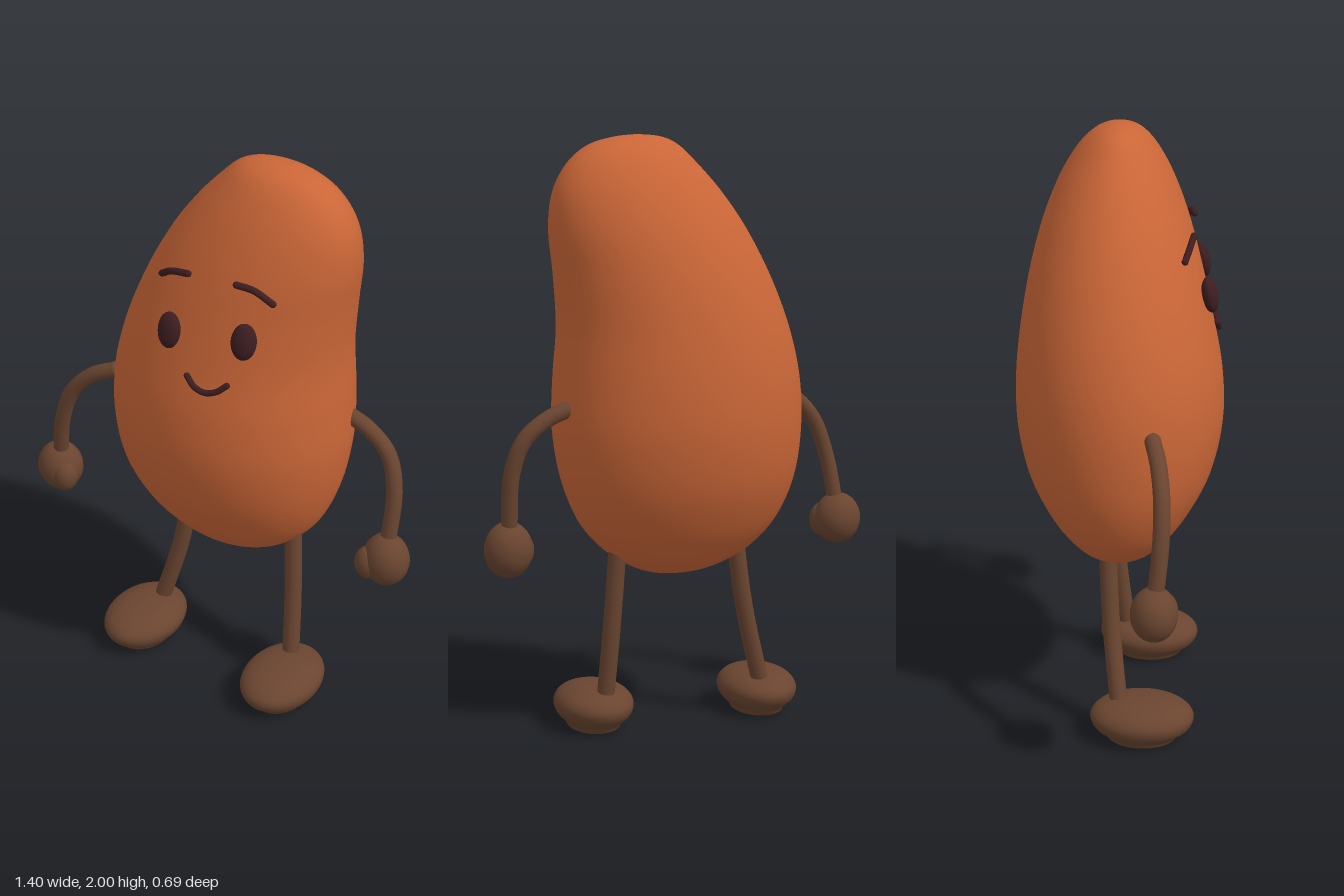
import * as THREE from 'three';

const mat = (name, color) => {
  const m = new THREE.MeshStandardMaterial({ color });
  m.name = name;
  return m;
};

// Bean cross-sections: y, left x, right x, front z, back z
const SECTIONS = [
  [0.54, 0.04, 0.04, 0, 0], [0.55, -0.06, 0.13, 0.06, -0.06], [0.58, -0.15, 0.205, 0.115, -0.115],
  [0.635, -0.24, 0.285, 0.172, -0.172], [0.73, -0.322, 0.365, 0.24, -0.24],
  [0.87, -0.378, 0.42, 0.308, -0.305], [1.04, -0.397, 0.447, 0.343, -0.34],
  [1.21, -0.386, 0.444, 0.339, -0.342], [1.38, -0.343, 0.433, 0.307, -0.325],
  [1.55, -0.274, 0.444, 0.266, -0.296], [1.7, -0.193, 0.46, 0.221, -0.256],
  [1.82, -0.108, 0.447, 0.172, -0.208], [1.91, -0.028, 0.4, 0.122, -0.155],
  [1.967, 0.032, 0.33, 0.075, -0.102], [1.992, 0.09, 0.245, 0.03, -0.056],
  [2.0, 0.165, 0.165, -0.012, -0.012],
];

// Smooth loft of elliptical rings
function beanGeometry(rows = 90, cols = 64) {
  const spine = new THREE.CatmullRomCurve3(
    SECTIONS.map(([y, l, r, f, b]) => new THREE.Vector3((l + r) / 2, y, (f + b) / 2)), false, 'catmullrom');
  const radii = new THREE.CatmullRomCurve3(
    SECTIONS.map(([, l, r, f, b]) => new THREE.Vector3((r - l) / 2, 0, (f - b) / 2)), false, 'catmullrom');
  const pos = [], index = [];
  for (let i = 0; i <= rows; i++) {
    const c = spine.getPoint(i / rows), r = radii.getPoint(i / rows);
    for (let j = 0; j < cols; j++) {
      const a = (j / cols) * Math.PI * 2;
      pos.push(c.x + Math.max(r.x, 0.0005) * Math.cos(a), c.y, c.z + Math.max(r.z, 0.0005) * Math.sin(a));
      if (i < rows) {
        const A = i * cols + j, B = i * cols + (j + 1) % cols;
        index.push(A, A + cols, B, B, A + cols, B + cols);
      }
    }
  }
  // Close both poles
  for (let j = 1; j < cols - 1; j++) {
    const t = rows * cols;
    index.push(0, j, j + 1, t, t + j + 1, t + j);
  }
  const g = new THREE.BufferGeometry();
  g.setAttribute('position', new THREE.Float32BufferAttribute(pos, 3));
  g.setIndex(index);
  g.computeVertexNormals();
  return g;
}

export function createModel() {
  const model = new THREE.Group();
  const orange = mat('beanOrange', 0xca6637);
  const brown = mat('limbBrown', 0x6a4530);
  const dark = mat('featureDark', 0x3c1d20);

  const add = (parent, name, geometry, material) => {
    const m = new THREE.Mesh(geometry, material);
    m.name = name;
    parent.add(m);
    return m;
  };
  const ball = (parent, name, material, p, s) => {
    const m = add(parent, name, new THREE.SphereGeometry(1, 32, 20), material);
    m.position.set(...p);
    m.scale.set(...s);
    return m;
  };
  // Round-ended tube through a few points
  const limb = (name, pts, r, material) => {
    const g = new THREE.Group();
    g.name = name;
    const curve = new THREE.CatmullRomCurve3(pts.map((p) => new THREE.Vector3(...p)));
    add(g, name + 'Tube', new THREE.TubeGeometry(curve, 32, r, 14), material);
    for (const p of [pts[0], pts[pts.length - 1]]) ball(g, name + 'End', material, p, [r, r, r]);
    model.add(g);
  };

  add(model, 'body', beanGeometry(), orange);

  // Arms and hands
  limb('rightArm', [[-0.37, 1.125, 0.125], [-0.45, 1.085, 0.145], [-0.53, 1.0, 0.16],
    [-0.58, 0.87, 0.16], [-0.612, 0.7, 0.145]], 0.027, brown);
  limb('leftArm', [[0.41, 1.135, -0.085], [0.49, 1.105, -0.088], [0.57, 1.04, -0.085],
    [0.61, 0.93, -0.068], [0.615, 0.72, -0.035]], 0.027, brown);
  ball(model, 'rightHand', brown, [-0.618, 0.645, 0.142], [0.082, 0.09, 0.076]);
  ball(model, 'rightThumb', brown, [-0.574, 0.636, 0.172], [0.046, 0.06, 0.044]);
  ball(model, 'leftHand', brown, [0.616, 0.668, -0.028], [0.08, 0.094, 0.074]);
  ball(model, 'leftThumb', brown, [0.568, 0.655, 0.006], [0.046, 0.06, 0.044]);

  // Legs
  limb('rightLeg', [[-0.17, 0.66, -0.03], [-0.185, 0.54, -0.025], [-0.215, 0.37, -0.015],
    [-0.28, 0.12, 0.012]], 0.03, brown);
  limb('leftLeg', [[0.245, 0.68, -0.035], [0.253, 0.54, -0.028], [0.264, 0.36, -0.016],
    [0.278, 0.12, 0.012]], 0.03, brown);

  // Feet: flattened ovals with a low, slightly hollow sole
  const footProfile = new THREE.SplineCurve([
    [0, 0.014], [0.45, 0.012], [0.58, 0.002], [0.66, 0.005], [0.72, 0.02], [0.84, 0.037],
    [0.95, 0.056], [1, 0.082], [0.95, 0.105], [0.8, 0.125], [0.55, 0.14], [0.28, 0.147], [0, 0.15],
  ].map(([x, y]) => new THREE.Vector2(x, y))).getPoints(48);
  footProfile.forEach((p) => { p.x = Math.max(p.x, 0); });
  for (const [side, s] of [['right', -1], ['left', 1]]) {
    const foot = add(model, side + 'Foot', new THREE.LatheGeometry(footProfile, 48), brown);
    foot.position.set(s * 0.297, 0, 0.092);
    foot.scale.set(0.133, 1, 0.175);
  }

  // Face
  const rightEye = ball(model, 'rightEye', dark, [-0.017, 1.49, 0.293], [0.041, 0.06, 0.026]);
  rightEye.rotation.set(-0.2, -0.1, 0);
  const leftEye = ball(model, 'leftEye', dark, [0.243, 1.522, 0.262], [0.041, 0.06, 0.026]);
  leftEye.rotation.set(-0.2, 0.28, 0);
  limb('rightBrow', [[-0.1, 1.628, 0.213], [-0.055, 1.657, 0.226], [0.018, 1.677, 0.238]], 0.011, dark);
  limb('leftBrow', [[0.197, 1.696, 0.236], [0.255, 1.69, 0.226], [0.313, 1.655, 0.21]], 0.011, dark);
  limb('mouth', [[0.067, 1.365, 0.317], [0.098, 1.339, 0.323], [0.137, 1.33, 0.322],
    [0.175, 1.342, 0.313], [0.205, 1.368, 0.298]], 0.01, dark);

  return model;
}
